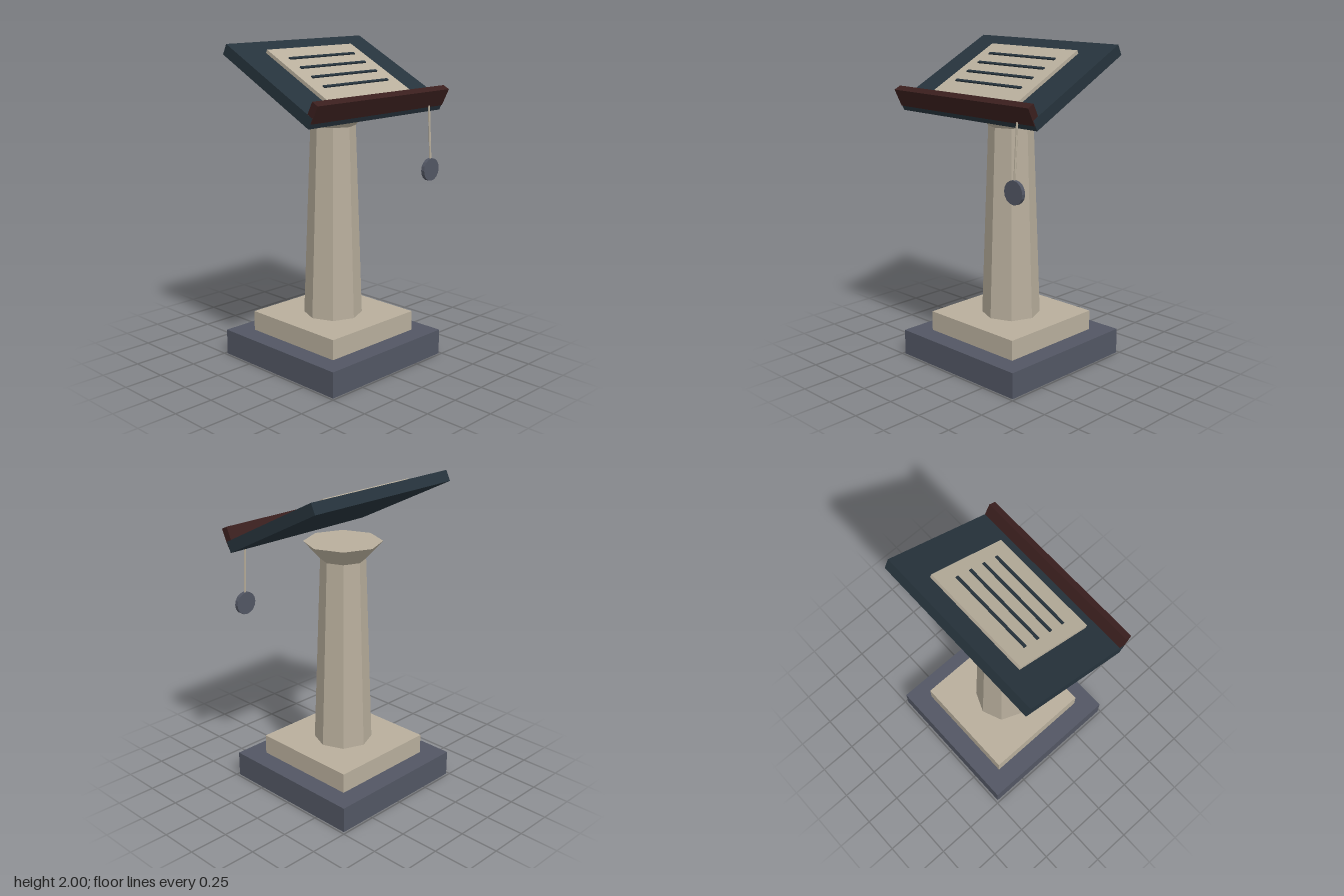
import * as THREE from 'three';

const material = (name, color) => {
  const m = new THREE.MeshStandardMaterial({ color, flatShading: true });
  m.name = name;
  return m;
};

export function createModel() {
  const stone = material('pale stone', 0xb8ae9c);
  const slate = material('slate grey', 0x525663);
  const panel = material('dark blue panel', 0x26333c);
  const wood = material('dark red wood', 0x3a1f1e);

  const model = new THREE.Group();
  model.name = 'lectern';

  const add = (parent, name, geometry, mat, x, y, z) => {
    const mesh = new THREE.Mesh(geometry, mat);
    mesh.name = name;
    mesh.position.set(x, y, z);
    parent.add(mesh);
    return mesh;
  };
  const box = (parent, name, mat, w, h, d, x, y, z) =>
    add(parent, name, new THREE.BoxGeometry(w, h, d), mat, x, y, z);

  // Stepped base
  box(model, 'base', slate, 0.97, 0.163, 0.97, 0, 0.0815, 0);
  box(model, 'plinth', stone, 0.716, 0.127, 0.716, 0, 0.2265, 0);

  // Tapered octagonal column and flared capital
  add(model, 'column', new THREE.CylinderGeometry(0.14, 0.185, 1.21, 8), stone, 0, 0.895, 0);
  add(model, 'capital', new THREE.CylinderGeometry(0.242, 0.14, 0.11, 8), stone, 0, 1.555, 0);

  // Sloping desk; its parts are placed in the desk's tilted frame
  const desk = new THREE.Group();
  desk.name = 'desk';
  desk.position.set(0, 1.789, 0.028);
  desk.rotation.x = 0.466;
  model.add(desk);
  box(desk, 'board', panel, 1.13, 0.07, 0.812, 0, 0, 0);
  box(desk, 'ledge', wood, 1.129, 0.117, 0.048, 0, 0.0585, 0.387);
  box(desk, 'page', stone, 0.714, 0.024, 0.563, 0, 0.045, 0.003);
  for (let i = 0; i < 4; i++) {
    box(desk, 'pageLine', panel, 0.55, 0.009, 0.018, 0, 0.0605, -0.16 + i * 0.1065);
  }

  // Disc hanging on a cord from the ledge
  const cord = new THREE.LineCurve3(
    new THREE.Vector3(0.435, 1.615, 0.398),
    new THREE.Vector3(0.435, 1.26, 0.42)
  );
  add(model, 'cord', new THREE.TubeGeometry(cord, 1, 0.007, 6), stone, 0, 0, 0);
  const disc = add(model, 'pendantDisc', new THREE.CylinderGeometry(0.071, 0.071, 0.024, 16),
    slate, 0.435, 1.218, 0.418);
  disc.rotation.x = Math.PI / 2;

  return model;
}
